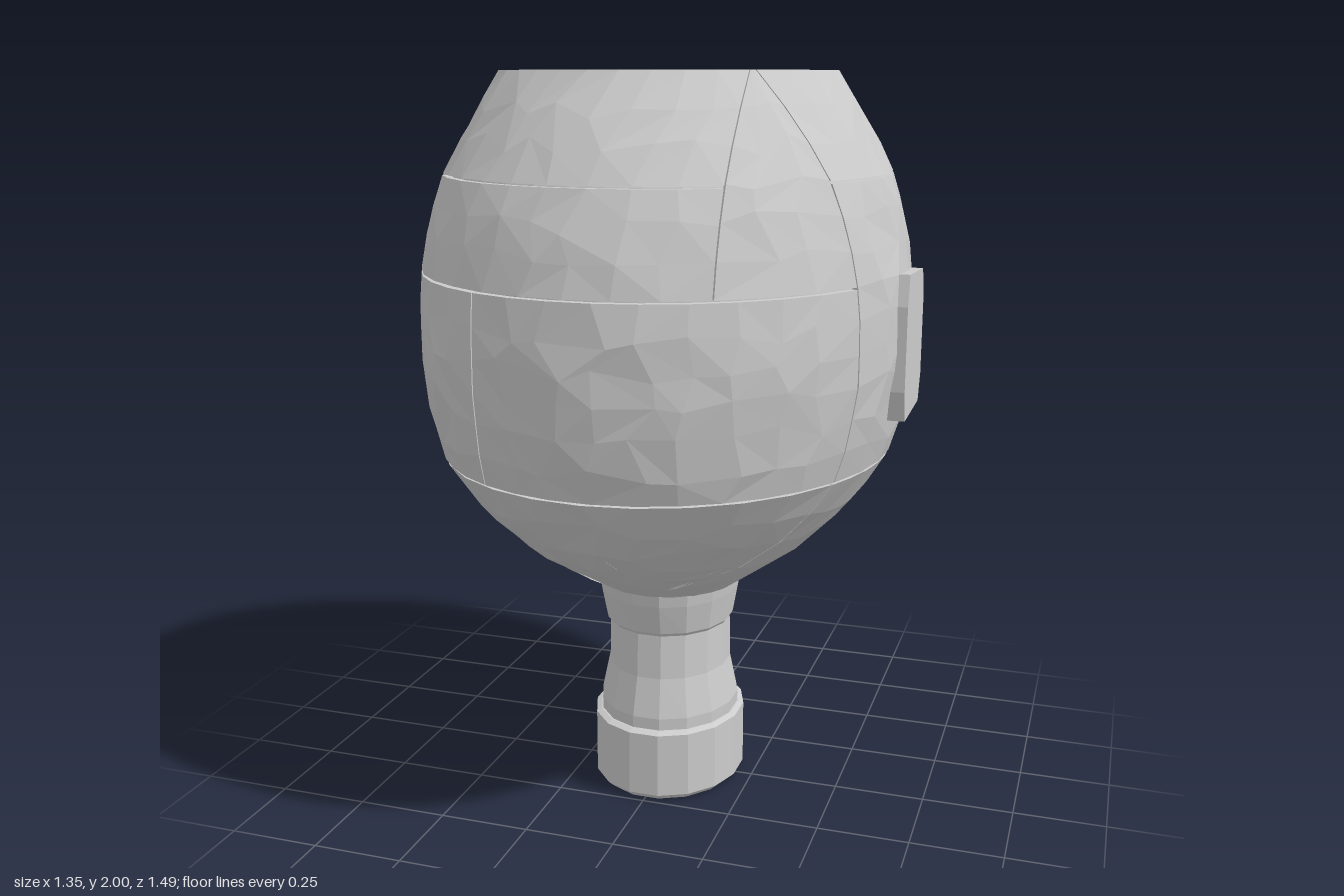
import * as THREE from 'three';

const grey = new THREE.MeshStandardMaterial({ color: 0xcccccc, flatShading: true, side: THREE.DoubleSide });

// Oval cross-sections of the bulb: [height, half width in x, half depth in z]
const PROFILE = [
  [0.59, 0.19, 0.2], [0.66, 0.285, 0.33], [0.72, 0.375, 0.44], [0.82, 0.485, 0.56],
  [0.91, 0.555, 0.64], [1.0, 0.61, 0.7], [1.1, 0.638, 0.73], [1.25, 0.66, 0.748],
  [1.4, 0.66, 0.745], [1.5, 0.652, 0.732], [1.62, 0.63, 0.705], [1.74, 0.593, 0.655],
  [1.86, 0.532, 0.585], [2.0, 0.445, 0.485],
];
const FRONT_CUT = 0.335, BACK_CUT = 0.395;

let seed = 7;
function random() {
  seed = (seed * 16807) % 2147483647;
  return seed / 2147483647;
}

function radii(y) {
  const k = Math.max(1, PROFILE.findIndex(p => p[0] >= y - 1e-6));
  const a = PROFILE[k - 1], b = PROFILE[k];
  const f = THREE.MathUtils.clamp((y - a[0]) / (b[0] - a[0]), 0, 1);
  return [a[1] + (b[1] - a[1]) * f, a[2] + (b[2] - a[2]) * f];
}

// Grid of quads from a point function, with mixed diagonals
function grid(nu, nv, point) {
  const pos = [], index = [];
  for (let j = 0; j <= nv; j++) for (let i = 0; i <= nu; i++) pos.push(...point(i, j));
  for (let j = 0; j < nv; j++) for (let i = 0; i < nu; i++) {
    const a = j * (nu + 1) + i, b = a + 1, c = a + nu + 1, d = c + 1;
    if (random() < 0.5) index.push(a, c, b, b, c, d);
    else index.push(a, c, d, a, d, b);
  }
  const g = new THREE.BufferGeometry();
  g.setAttribute('position', new THREE.Float32BufferAttribute(pos, 3));
  g.setIndex(index);
  g.computeVertexNormals();
  return g;
}

function add(group, name, geometry) {
  const mesh = new THREE.Mesh(geometry, grey);
  mesh.name = name;
  group.add(mesh);
  return mesh;
}

// Closed stack of oval rings
function loft(rows, n) {
  return grid(n, rows.length - 1, (i, j) => {
    const t = ((i % n) + 0.5) / n * Math.PI * 2, [y, rx, rz] = rows[j];
    return [rx * Math.cos(t), y, rz * Math.sin(t)];
  });
}

// Seams as angles round the bulb: at a fixed depth z or a fixed x
const angle = s => Math.asin(Math.min(s, 0.92));
const cut = {
  frontLeft: y => angle(FRONT_CUT / radii(y)[1]),
  frontRight: y => Math.PI - angle(FRONT_CUT / radii(y)[1]),
  backRight: y => Math.PI + angle(BACK_CUT / radii(y)[1]),
  backLeft: y => 2 * Math.PI - angle(BACK_CUT / radii(y)[1]),
  sideLeft: y => -angle(BACK_CUT / radii(y)[1]),
};
const frontAt = x => y => Math.acos(x / radii(y)[0]);
const backAt = x => y => 2 * Math.PI - Math.acos(x / radii(y)[0]);

// One facetted skin panel whose rim folds inwards, leaving a fine seam
function panel(y0, y1, from, to) {
  const mid = (y0 + y1) / 2, span = to(mid) - from(mid);
  const nu = Math.max(3, Math.round(span / 0.17)) + 2;
  const nv = Math.max(2, Math.round((y1 - y0) / 0.085)) + 2;
  return grid(nu, nv, (i, j) => {
    const rim = i === 0 || j === 0 || i === nu || j === nv;
    let u = THREE.MathUtils.clamp((i - 1) / (nu - 2), 0, 1);
    let v = THREE.MathUtils.clamp((j - 1) / (nv - 2), 0, 1);
    let bump = 1;
    if (i > 1 && j > 1 && i < nu - 1 && j < nv - 1) {
      u += (random() - 0.5) * 0.6 / (nu - 2);
      v += (random() - 0.5) * 0.6 / (nv - 2);
      bump += (random() - 0.5) * 0.012;
    }
    const gap = 0.003, y = THREE.MathUtils.lerp(y0 + (y0 > 0.6 ? gap : 0), y1 - (y1 < 2 ? gap : 0), v);
    const t = THREE.MathUtils.lerp(from(y) + gap, to(y) - gap, u);
    const [rx, rz] = radii(y), s = rim ? 0.97 : bump;
    return [rx * s * Math.cos(t), y, rz * s * Math.sin(t)];
  });
}

// Flat piece of the oval top between two depths and two x limits
function topPiece(z0, z1, x0 = -1, x1 = 1) {
  const right = [], left = [], n = 14;
  for (let k = 0; k <= n; k++) {
    const z = z0 + (z1 - z0) * k / n;
    const w = 0.445 * Math.sqrt(Math.max(0, 1 - (z / 0.485) ** 2));
    if (w < x0) continue;
    right.push(new THREE.Vector2(Math.min(w, x1), -z));
    left.unshift(new THREE.Vector2(Math.max(-w, x0), -z));
  }
  return new THREE.ShapeGeometry(new THREE.Shape([...right, ...left])).rotateX(-Math.PI / 2).translate(0, 2, 0);
}

export function createModel() {
  const model = new THREE.Group();
  model.name = 'panelledBulb';

  // Inner core, seen only at the bottom of the seams
  const core = PROFILE.map(([y, x, z]) => [Math.min(y, 1.988), x * 0.968, z * 0.968]);
  add(model, 'innerCore', loft([[0.59, 0, 0], ...core, [1.988, 0, 0]], 40));

  // Skin panels
  const skin = new THREE.Group();
  skin.name = 'skinPanels';
  model.add(skin);
  const c = cut;
  const panels = [
    ['frontLowerPanel', 0.59, 1.0, c.frontLeft, c.frontRight],
    ['frontMiddlePanel', 1.0, 1.49, c.frontLeft, frontAt(-0.28)],
    ['frontMiddleSidePanel', 1.0, 1.49, frontAt(-0.28), c.frontRight],
    ['frontUpperSidePanel', 1.49, 2.0, c.frontLeft, frontAt(0.31)],
    ['frontUpperPanel', 1.49, 1.74, frontAt(0.31), c.frontRight],
    ['frontTopPanel', 1.74, 2.0, frontAt(0.31), c.frontRight],
    ['backLowerPanel', 0.59, 1.0, c.backRight, c.backLeft],
    ['backMiddlePanel', 1.0, 1.49, c.backRight, c.backLeft],
    ['backUpperRightPanel', 1.49, 2.0, c.backRight, backAt(-0.24)],
    ['backUpperPanel', 1.49, 1.74, backAt(-0.24), c.backLeft],
    ['backTopPanel', 1.74, 2.0, backAt(-0.24), c.backLeft],
    ['leftLowerPanel', 0.59, 1.0, c.sideLeft, c.frontLeft],
    ['leftPanel', 1.0, 1.74, c.sideLeft, c.frontLeft],
    ['leftTopPanel', 1.74, 2.0, c.sideLeft, c.frontLeft],
    ['rightLowerPanel', 0.59, 1.0, c.frontRight, c.backRight],
    ['rightPanel', 1.0, 2.0, c.frontRight, c.backRight],
  ];
  for (const [name, y0, y1, from, to] of panels) add(skin, name, panel(y0, y1, from, to));

  // Flat top, divided by the same seams
  add(model, 'topBack', topPiece(-0.485, -BACK_CUT - 0.003));
  add(model, 'topCentre', topPiece(-BACK_CUT + 0.003, FRONT_CUT - 0.003, -1, 0.357));
  add(model, 'topCentreLeft', topPiece(-BACK_CUT + 0.003, FRONT_CUT - 0.003, 0.363));
  add(model, 'topFront', topPiece(FRONT_CUT + 0.003, 0.485));

  // Shallow raised plates on the two sides
  for (const [name, side, z0, z1] of [['leftPlate', 1, -0.13, 0.14], ['rightPlate', -1, -0.2, 0.15]]) {
    const shape = new THREE.Shape([
      [z0, 1.2], [z0 + 0.03, 1.13], [z1 - 0.02, 1.12], [z1, 1.2], [z1, 1.42], [z1 - 0.02, 1.5], [z0 + 0.03, 1.49], [z0, 1.42],
    ].map(([z, y]) => new THREE.Vector2(-z, y)));
    const plate = new THREE.ExtrudeGeometry(shape, { depth: 0.05, bevelEnabled: false });
    plate.rotateY(Math.PI / 2);
    plate.translate(side > 0 ? 0.624 : -0.674, 0, 0);
    add(model, name, plate);
  }

  // Waisted neck
  add(model, 'neck', loft([
    [0.19, 0.195, 0.225], [0.24, 0.197, 0.225], [0.35, 0.174, 0.2], [0.475, 0.172, 0.192],
    [0.485, 0.18, 0.2], [0.57, 0.195, 0.222], [0.61, 0.2, 0.228], [0.66, 0.2, 0.228],
  ], 16));

  // Foot with a small chamfer under it
  add(model, 'foot', loft([
    [0, 0, 0], [0, 0.195, 0.23], [0.018, 0.214, 0.249], [0.2, 0.214, 0.249], [0.207, 0.2, 0.23], [0.207, 0, 0],
  ], 16));

  return model;
}
